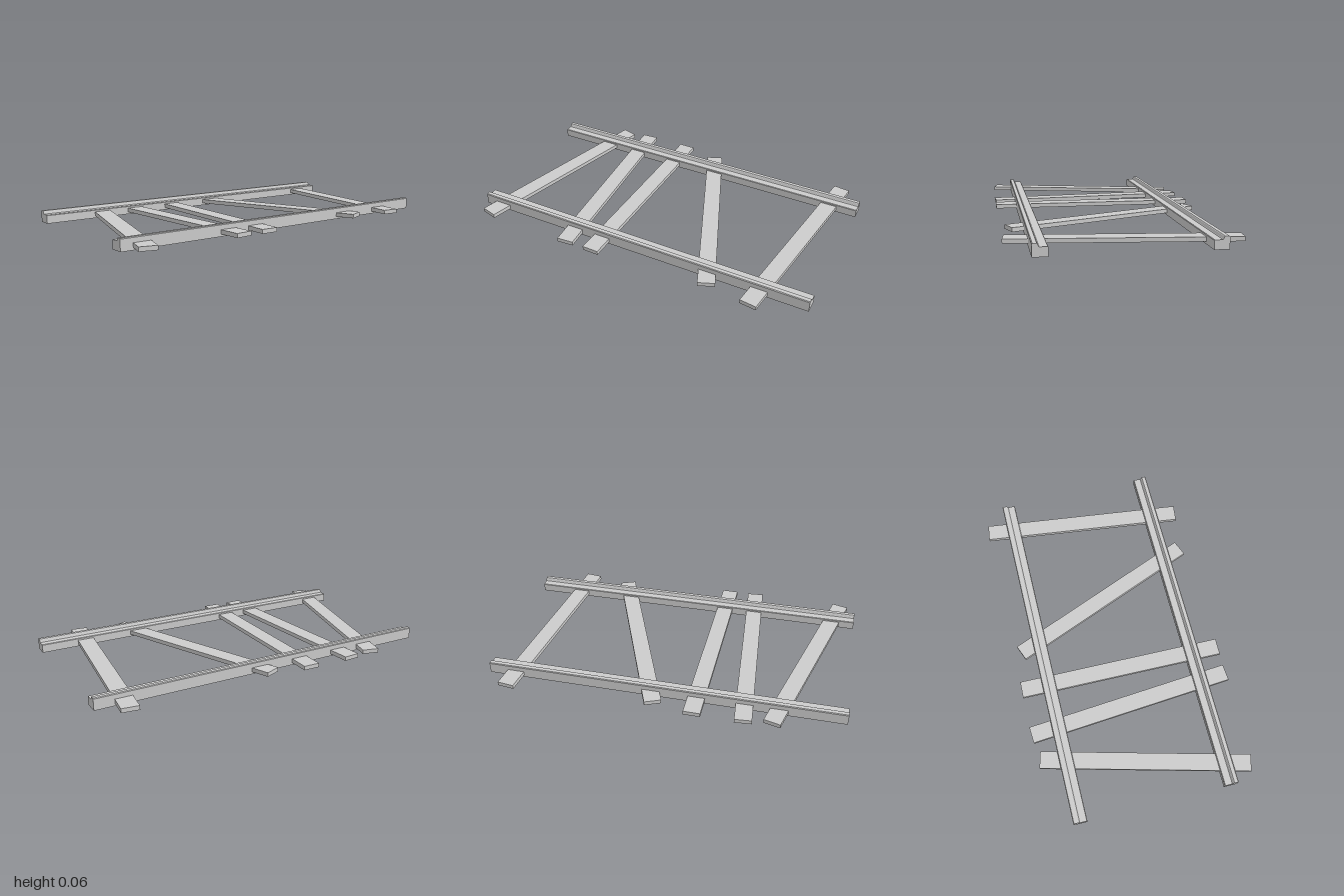
import * as THREE from 'three';

const LENGTH = 2;

// Rail cross-section as [z, y]: low inner ledge, raised outer lip
const RAIL_PROFILE = [
  [0.389, 0], [0.466, 0], [0.466, 0.061], [0.462, 0.065],
  [0.442, 0.065], [0.438, 0.062], [0.434, 0.051], [0.431, 0.048],
  [0.392, 0.048], [0.389, 0.045],
];

// Sleeper centre lines: [back x, back z, front x, front z]
const SLEEPERS = [
  [-0.612, -0.57, -0.911, 0.57],
  [-0.463, -0.587, -0.371, 0.587],
  [-0.189, -0.588, -0.207, 0.588],
  [0.032, -0.545, 0.471, 0.545],
  [0.859, -0.584, 0.717, 0.584],
];
const SLEEPER = { width: 0.094, bottom: 0.013, top: 0.036 };

export function createModel() {
  const model = new THREE.Group();
  model.name = 'brokenRailTrack';
  const material = new THREE.MeshStandardMaterial({ color: 0xcccccc, flatShading: true });

  // Two rails, the back one turned half round so both lips face outwards
  const shape = new THREE.Shape(RAIL_PROFILE.map(([z, y]) => new THREE.Vector2(z, y)));
  const railGeometry = new THREE.ExtrudeGeometry(shape, { depth: LENGTH, bevelEnabled: false });
  railGeometry.translate(0, 0, -LENGTH / 2).rotateY(-Math.PI / 2);
  ['frontRail', 'backRail'].forEach((name, i) => {
    const rail = new THREE.Mesh(railGeometry, material);
    rail.name = name;
    rail.rotation.y = i * Math.PI;
    model.add(rail);
  });

  // Skewed flat sleepers passing through the rails
  SLEEPERS.forEach(([x0, z0, x1, z1], i) => {
    const dx = x1 - x0, dz = z1 - z0;
    const geometry = new THREE.BoxGeometry(
      SLEEPER.width, SLEEPER.top - SLEEPER.bottom, Math.hypot(dx, dz));
    const sleeper = new THREE.Mesh(geometry, material);
    sleeper.name = `sleeper${i + 1}`;
    sleeper.position.set((x0 + x1) / 2, (SLEEPER.top + SLEEPER.bottom) / 2, (z0 + z1) / 2);
    sleeper.rotation.y = Math.atan2(dx, dz);
    model.add(sleeper);
  });

  return model;
}
